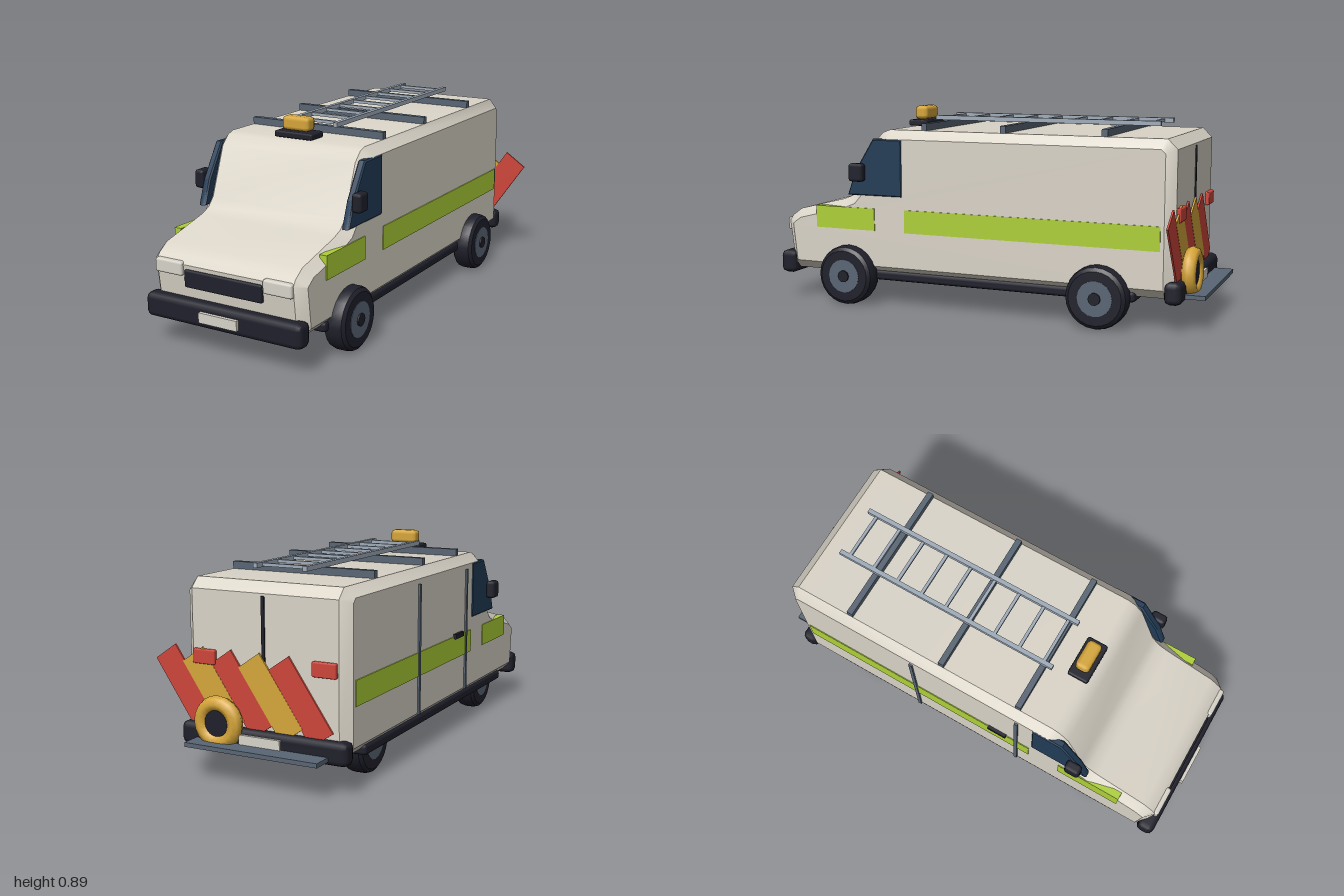
import * as THREE from 'three';
import { toCreasedNormals } from 'three/addons/utils/BufferGeometryUtils.js';
import { RoundedBoxGeometry } from 'three/addons/geometries/RoundedBoxGeometry.js';

const colours = {
  bodyCream: 0xdad4c8, rubberBlack: 0x20202c, glassBlue: 0x223c56, stripeGreen: 0xaed038,
  signalRed: 0xcf463a, amber: 0xd6a63a, slate: 0x5a6675, ladderGrey: 0xa0acba, lampWhite: 0xd8d4ca,
};
const mats = {};
for (const [name, color] of Object.entries(colours)) {
  mats[name] = new THREE.MeshStandardMaterial({ color });
  mats[name].name = name;
}

const CX = -0.05; // centre line of the bodywork
const HALF = 0.37; // half width of the bodywork

export function createModel() {
  const model = new THREE.Group();
  model.name = 'serviceVan';

  const add = (name, geo, mat, x = 0, y = 0, z = 0) => {
    const mesh = new THREE.Mesh(geo, mats[mat]);
    mesh.name = name;
    mesh.position.set(x, y, z);
    model.add(mesh);
    return mesh;
  };
  const box = (name, mat, w, h, d, x, y, z) => add(name, new THREE.BoxGeometry(w, h, d), mat, x, y, z);
  const soft = (name, mat, w, h, d, r, x, y, z) =>
    add(name, new RoundedBoxGeometry(w, h, d, 1, r), mat, x, y, z);
  // Side profile given as [z, y], extruded across x from x0 to x1
  const slab = (points, x0, x1, bevel = 0) => {
    const shape = new THREE.Shape(points.map(([z, y]) => new THREE.Vector2(z, y)));
    const geo = new THREE.ExtrudeGeometry(shape, {
      depth: x1 - x0 - 2 * bevel, bevelEnabled: bevel > 0, bevelThickness: bevel,
      bevelSize: bevel, bevelOffset: -bevel, bevelSegments: 1,
    });
    geo.rotateY(-Math.PI / 2);
    geo.translate(x1 - bevel, 0, 0);
    return toCreasedNormals(geo, 0.7);
  };

  // Bodywork with chamfered edges
  const profile = [
    [-0.88, 0.14], [0.93, 0.14], [0.955, 0.36], [0.937, 0.385], [0.89, 0.418], [0.66, 0.475],
    [0.61, 0.495], [0.575, 0.535], [0.495, 0.745], [0.455, 0.785], [0.42, 0.797],
    [-0.838, 0.797], [-0.88, 0.755],
  ];
  add('body', slab(profile, CX - HALF, CX + HALF, 0.04), 'bodyCream');
  soft('underbody', 'rubberBlack', 0.72, 0.045, 1.5, 0.015, CX, 0.138, 0.03);

  // Bumpers and number plates
  soft('frontBumper', 'rubberBlack', 0.757, 0.105, 0.08, 0.025, CX, 0.168, 0.945);
  soft('rearBumper', 'rubberBlack', 0.757, 0.095, 0.075, 0.025, CX, 0.168, -0.878);
  box('frontPlate', 'lampWhite', 0.186, 0.043, 0.02, CX, 0.169, 0.99);
  box('rearPlate', 'lampWhite', 0.186, 0.043, 0.012, CX, 0.175, -0.92);
  box('rearStep', 'slate', 0.6, 0.018, 0.12, CX, 0.148, -0.94);

  // Front face
  soft('grille', 'rubberBlack', 0.375, 0.075, 0.04, 0.008, CX, 0.305, 0.944);
  for (const s of [-1, 1]) {
    soft('headlight', 'lampWhite', 0.135, 0.06, 0.035, 0.01, CX + s * 0.263, 0.342, 0.951);
  }

  // Windows, stripes and mirrors on both sides
  const windowShape = [[0.345, 0.5], [0.62, 0.5], [0.58, 0.61], [0.488, 0.757], [0.345, 0.757]];
  for (const s of [-1, 1]) {
    const mid = CX + s * 0.357;
    add('sideWindow', slab(windowShape, mid - 0.017, mid + 0.017, 0.006), 'glassBlue');
    box('frontStripe', 'stripeGreen', 0.034, 0.1, 0.3, mid, 0.393, 0.635);
    box('sideStripe', 'stripeGreen', 0.034, 0.103, 1.16, mid, 0.393, -0.245);
    soft('mirror', 'rubberBlack', 0.045, 0.082, 0.072, 0.014, CX + s * 0.391, 0.606, 0.56);
  }

  // Sliding door on the right-hand side
  for (const z of [-0.25, 0.27]) box('doorSeam', 'slate', 0.01, 0.56, 0.016, CX - HALF - 0.003, 0.455, z);
  box('doorHandle', 'rubberBlack', 0.02, 0.022, 0.09, CX - HALF - 0.004, 0.445, 0.175);

  // Rear doors, warning chevrons and tail lights
  box('rearDoorSeam', 'rubberBlack', 0.014, 0.54, 0.008, CX, 0.475, -0.881);
  for (let i = 0; i < 5; i++) {
    const strip = box('chevron', i % 2 ? 'amber' : 'signalRed', 0.116, 0.34, 0.008,
      0.314 - i * 0.132, 0.35, -0.886 - (i % 2) * 0.001);
    strip.rotation.z = -0.6;
  }
  for (const s of [-1, 1]) {
    soft('tailLight', 'signalRed', 0.105, 0.06, 0.03, 0.006, CX + s * 0.272, 0.485, -0.882);
  }

  // Hose reel on the rear door
  const ring = new THREE.TorusGeometry(0.078, 0.032, 8, 20);
  add('reel', ring, 'amber', 0.14, 0.232, -0.92);
  const reelHub = new THREE.CylinderGeometry(0.056, 0.056, 0.05, 16).rotateX(Math.PI / 2);
  add('reelHub', reelHub, 'rubberBlack', 0.14, 0.232, -0.913);

  // Roof bars and ladder
  for (const z of [-0.573, -0.12, 0.253]) box('roofBar', 'slate', 0.66, 0.032, 0.026, CX, 0.812, z);
  for (const x of [-0.163, 0.063]) box('ladderRail', 'ladderGrey', 0.02, 0.02, 1.05, x, 0.842, -0.23);
  for (let i = 0; i < 9; i++) {
    box('ladderRung', 'ladderGrey', 0.22, 0.013, 0.014, CX, 0.842, -0.71 + i * 0.12);
  }

  // Roof beacon
  soft('beaconBase', 'rubberBlack', 0.187, 0.028, 0.095, 0.008, CX, 0.812, 0.402);
  soft('beacon', 'amber', 0.132, 0.062, 0.065, 0.018, CX, 0.858, 0.402);

  // Wheels
  const tyreProfile = [[0.07, -0.049], [0.115, -0.049], [0.13, -0.038], [0.135, -0.02],
    [0.135, 0.02], [0.13, 0.038], [0.115, 0.049], [0.07, 0.049]].map(([r, h]) => new THREE.Vector2(r, h));
  const tyre = toCreasedNormals(new THREE.LatheGeometry(tyreProfile, 24).rotateZ(Math.PI / 2), 0.6);
  const hub = new THREE.CylinderGeometry(0.076, 0.076, 0.102, 16).rotateZ(Math.PI / 2);
  const nut = new THREE.CylinderGeometry(0.027, 0.027, 0.116, 10).rotateZ(Math.PI / 2);
  for (const z of [0.618, -0.567]) {
    for (const x of [-0.326, 0.326]) {
      add('tyre', tyre, 'rubberBlack', x, 0.135, z);
      add('wheelHub', hub, 'slate', x, 0.135, z);
      add('wheelNut', nut, 'rubberBlack', x, 0.135, z);
    }
  }
  return model;
}
